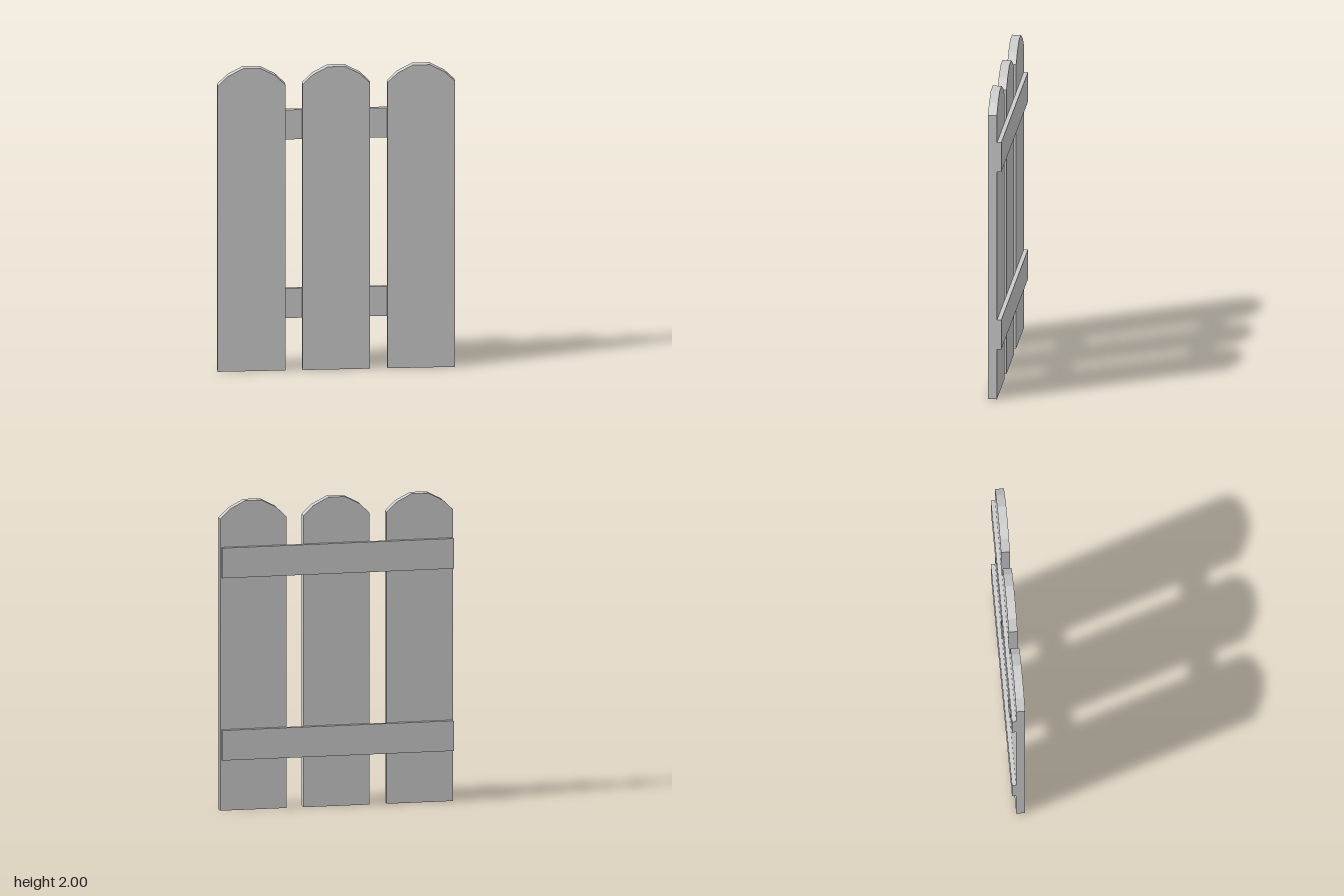
import * as THREE from 'three';

const material = new THREE.MeshStandardMaterial({ color: 0xcccccc, flatShading: true });

// Plank outline: straight sides with a faceted arched top
function createPicketGeometry() {
  const half = [[0.215, 0], [0.215, 1.887], [0.15, 1.95], [0.054, 2]];
  const outline = [...half, ...half.map(([x, y]) => [-x, y]).reverse()];
  const shape = new THREE.Shape(outline.map(([x, y]) => new THREE.Vector2(x, y)));
  return new THREE.ExtrudeGeometry(shape, { depth: 0.057, bevelEnabled: false });
}

export function createModel() {
  const fence = new THREE.Group();
  fence.name = 'picketFence';

  // Three upright planks
  const picketGeometry = createPicketGeometry();
  ['rightPicket', 'middlePicket', 'leftPicket'].forEach((name, i) => {
    const picket = new THREE.Mesh(picketGeometry, material);
    picket.name = name;
    picket.position.set((i - 1) * 0.54, 0, -0.015);
    fence.add(picket);
  });

  // Two horizontal rails across the back
  const railGeometry = new THREE.BoxGeometry(1.5, 0.195, 0.027);
  [['lowerRail', 0.427], ['upperRail', 1.607]].forEach(([name, y]) => {
    const rail = new THREE.Mesh(railGeometry, material);
    rail.name = name;
    rail.position.set(-0.004, y, -0.0285);
    fence.add(rail);
  });

  return fence;
}
